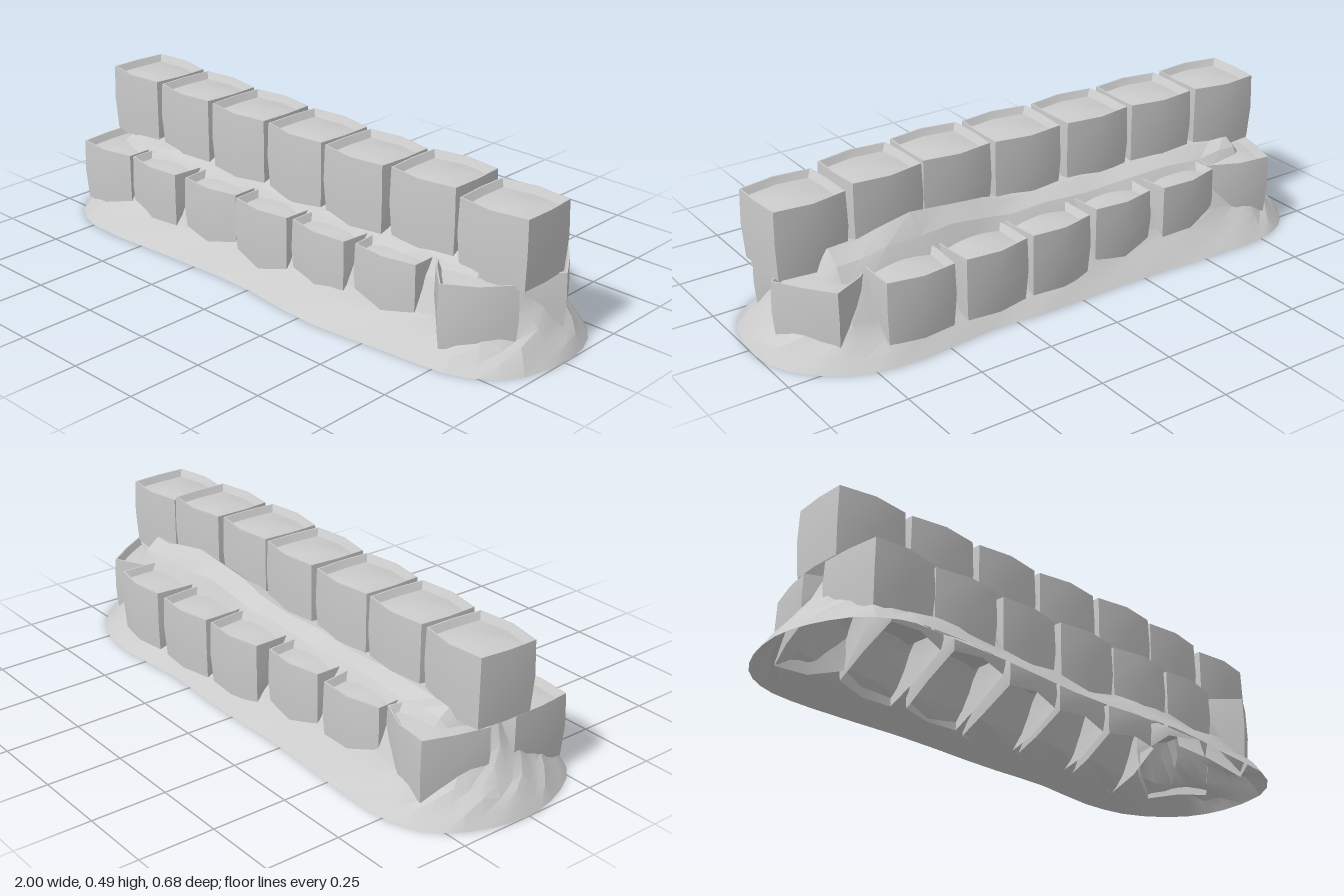
import * as THREE from 'three';
import { toCreasedNormals } from 'three/addons/utils/BufferGeometryUtils.js';

const material = new THREE.MeshStandardMaterial({ color: 0xcccccc, side: THREE.DoubleSide });

// Skin closed rings of [x, y, z]; the last ring collapses to a point.
function loft(rings, crease) {
  const n = rings[0].length, index = [];
  for (let r = 0; r < rings.length - 1; r++) {
    for (let i = 0; i < n; i++) {
      const j = (i + 1) % n;
      const a = r * n + i, b = r * n + j, c = a + n, d = b + n;
      index.push(a, c, b);
      if (r < rings.length - 2) index.push(b, c, d);
    }
  }
  const geo = new THREE.BufferGeometry();
  geo.setAttribute('position', new THREE.Float32BufferAttribute(rings.flat(2), 3));
  geo.setIndex(index);
  return toCreasedNormals(geo, crease);
}

// Sand-filled basket: bowed square walls, a rim and a sunken sand surface.
function basket(name, x, z, deg, top, bottomAt, w, d) {
  const plan = [[w + 0.005, 0], [w, d], [0, d + 0.018], [-w, d],
    [-w - 0.005, 0], [-w, -d], [0, -d - 0.018], [w, -d]];
  const t = THREE.MathUtils.degToRad(deg), c = Math.cos(t), s = Math.sin(t);
  const ring = (scale, yAt) => plan.map(([px, pz]) => {
    const wx = x + scale * (px * c + pz * s), wz = z + scale * (pz * c - px * s);
    return [wx, yAt(wx, wz), wz];
  });
  const rings = [
    ring(0.97, bottomAt),
    ring(1.025, (px, pz) => (bottomAt(px, pz) + top) / 2),
    ring(1, () => top), ring(0.96, () => top),
    ring(0.86, () => top - 0.022), ring(0.45, () => top - 0.014), ring(0, () => top - 0.01),
  ];
  const mesh = new THREE.Mesh(loft(rings, 0.5), material);
  mesh.name = name;
  return mesh;
}

// Sand bank: outline at the ground drawn in towards a spine while rising.
function sandMound() {
  const outline = [[1, -0.04], [0.96, 0.17], [0.83, 0.28], [0.6, 0.31], [0.28, 0.34],
    [-0.05, 0.31], [-0.4, 0.325], [-0.75, 0.335], [-0.89, 0.27], [-0.97, 0.14],
    [-1, 0], [-0.97, -0.16], [-0.9, -0.27], [-0.79, -0.33], [-0.62, -0.343],
    [-0.25, -0.325], [0.1, -0.33], [0.35, -0.32], [0.62, -0.343], [0.8, -0.31], [0.95, -0.19]];
  const curve = new THREE.CatmullRomCurve3(
    outline.map(([x, z]) => new THREE.Vector3(x, 0, z)), true);
  const pts = curve.getPoints(48).slice(0, 48);
  // [distance from spine, height, height at the ends]
  const steps = [[1, 0, 0], [0.9, 0.035, 0.035], [0.8, 0.07, 0.065], [0.7, 0.11, 0.09],
    [0.57, 0.215, 0.13], [0.45, 0.265, 0.17], [0.3, 0.285, 0.24], [0.12, 0.295, 0.25]];
  const rings = steps.map(([f, h, hEnd], k) => pts.map((p, i) => {
    const sx = THREE.MathUtils.clamp(p.x, -0.77, 0.77);
    const bump = k && k < 7 ? 0.006 * Math.sin(i * 2.4 + k * 1.9) : 0;
    // sand is heaped higher behind the upper row
    const heap = p.z < -0.25 && f < 0.5 && f > 0.2
      ? (0.01 + 0.06 * Math.exp(-(((p.x - 0.45) / 0.25) ** 2))) * (f < 0.4 ? 1 : 0.5) : 0;
    const end = THREE.MathUtils.smoothstep(Math.abs(p.x), 0.78, 0.95);
    return [sx + (p.x - sx) * f, THREE.MathUtils.lerp(h + heap, hEnd, end) + bump, p.z * f];
  }));
  rings.push(pts.map(() => [0, 0.295, 0]));
  const mesh = new THREE.Mesh(loft(rings, 0.3), material);
  mesh.name = 'sandMound';
  return mesh;
}

export function createModel() {
  const group = new THREE.Group();
  group.name = 'basketBarrier';
  group.add(sandMound());

  // lower baskets are sunk into the sloping sand
  const onSlope = (x, z) => {
    const d = Math.hypot(Math.max(0, Math.abs(x) - 0.75) * 1.3, z);
    return 0.05 + Math.max(0, 0.25 - d) * 0.65;
  };

  // [x, z, turn in degrees]
  const front = [[-0.765, 0.145, 3], [-0.515, 0.14, -3], [-0.258, 0.13, 3], [-0.008, 0.137, 0],
    [0.245, 0.135, -3], [0.495, 0.12, 3], [0.755, 0.112, 42]];
  const back = [[-0.745, -0.13, -16], [-0.48, -0.138, 6], [-0.21, -0.142, 3], [0.06, -0.175, 4],
    [0.31, -0.19, 3], [0.57, -0.19, -2], [0.79, -0.09, 35]];
  front.forEach(([x, z, a], i) =>
    group.add(basket('frontBasket' + (i + 1), x, z, a, 0.26, onSlope, 0.114, 0.108)));
  back.forEach(([x, z, a], i) =>
    group.add(basket('backBasket' + (i + 1), x, z, a, i === 6 ? 0.247 : 0.26, onSlope, 0.114, 0.108)));

  // upper row along the ridge
  const upper = [[-0.765, 0.004, -3], [-0.5, 0.015, -2], [-0.237, 0.022, 0], [0.03, 0.028, -2],
    [0.29, 0.039, -1], [0.55, 0.025, 2], [0.812, 0.024, 2]];
  upper.forEach(([x, z, a], i) => {
    const last = i === 6;
    group.add(basket('upperBasket' + (i + 1), x, z, a,
      last ? 0.47 : 0.49, () => (last ? 0.245 : 0.262), 0.12, 0.101));
  });
  return group;
}
